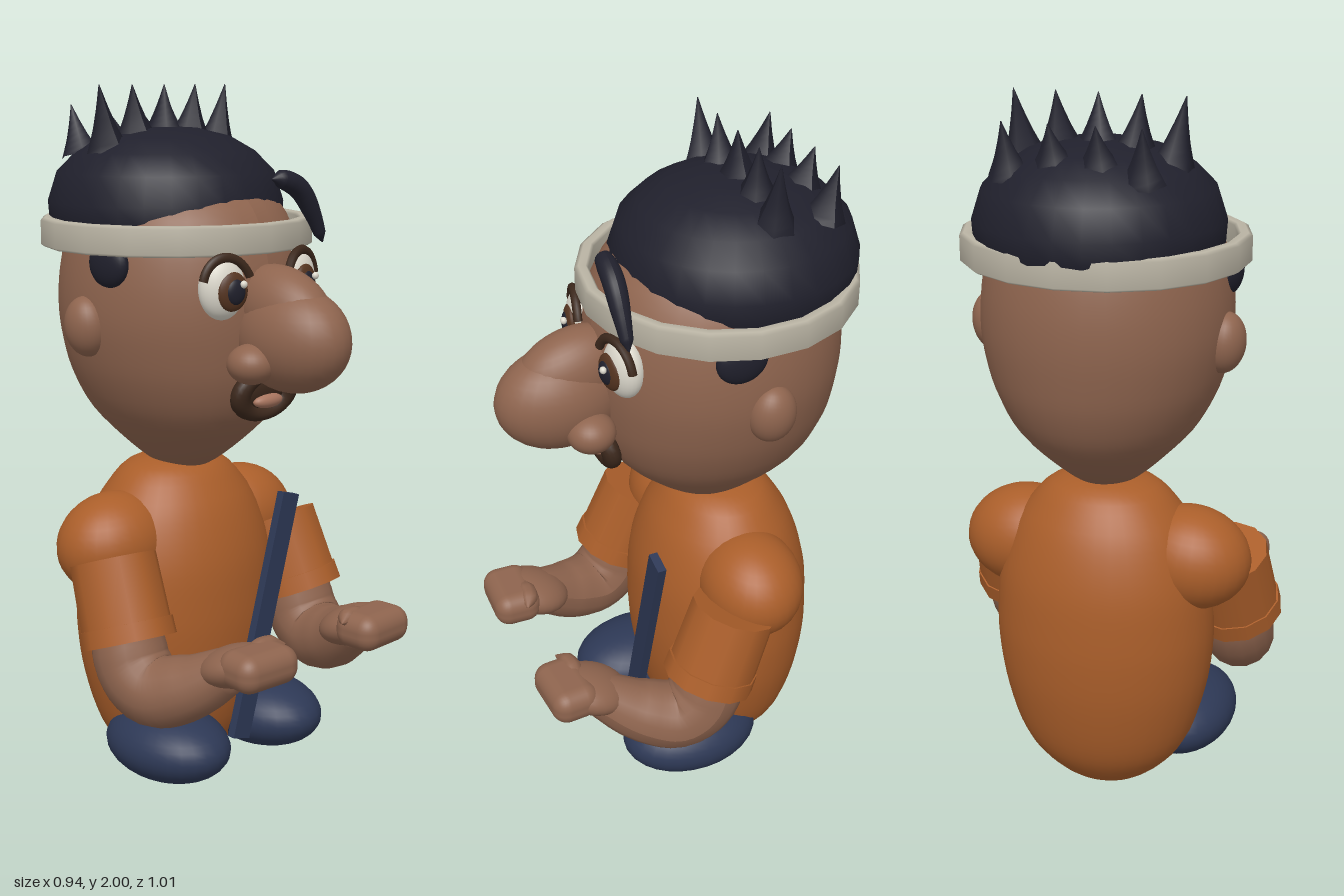
import * as THREE from 'three';
import { RoundedBoxGeometry } from 'three/addons/geometries/RoundedBoxGeometry.js';

const V = (x, y, z) => new THREE.Vector3(x, y, z);

export function createModel() {
  const model = new THREE.Group();
  model.name = 'seatedFigure';
  const mat = (name, color) => {
    const m = new THREE.MeshStandardMaterial({ color });
    m.name = name;
    return m;
  };
  const skin = mat('skin', 0x8e644e), orange = mat('orangeShirt', 0xaa5e2a);
  const hairDark = mat('darkHair', 0x20202c), navy = mat('navy', 0x2d3855);
  const cream = mat('creamBand', 0xbab4a4), white = mat('eyeWhite', 0xdcd8cc);
  const brown = mat('darkBrown', 0x3c281c), iris = mat('irisBrown', 0x553420);
  const lipColor = mat('lip', 0xa8755f);

  const add = (name, geo, material, pos = [0, 0, 0], rot = [0, 0, 0], scale = [1, 1, 1]) => {
    const m = new THREE.Mesh(geo, material);
    m.name = name;
    m.position.set(...pos);
    m.rotation.set(...rot);
    m.scale.set(...scale);
    model.add(m);
    return m;
  };
  const ball = (name, material, pos, radii, rot) =>
    add(name, new THREE.SphereGeometry(1, 28, 20), material, pos, rot, radii);

  // Smooth lathe through a few [radius, height] points
  const lathe = pts => {
    const prof = new THREE.SplineCurve(pts.map(p => new THREE.Vector2(...p))).getPoints(40);
    prof.forEach(p => { p.x = Math.max(0, p.x); });
    return new THREE.LatheGeometry(prof, 36);
  };

  // Tube whose radius follows a list of values along the path
  const limb = (points, radii, steps = 28, sides = 16) => {
    const path = new THREE.CatmullRomCurve3(points);
    const geo = new THREE.TubeGeometry(path, steps, 1, sides);
    const pos = geo.attributes.position, v = new THREE.Vector3();
    for (let i = 0; i <= steps; i++) {
      const c = path.getPointAt(i / steps);
      const f = (i / steps) * (radii.length - 1), k = Math.min(Math.floor(f), radii.length - 2);
      const r = THREE.MathUtils.lerp(radii[k], radii[k + 1], f - k);
      for (let j = 0; j <= sides; j++) {
        const n = i * (sides + 1) + j;
        v.fromBufferAttribute(pos, n).sub(c).multiplyScalar(r).add(c);
        pos.setXYZ(n, v.x, v.y, v.z);
      }
    }
    geo.computeVertexNormals();
    return geo;
  };

  // Torso
  add('torso', lathe([[0, 0], [0.09, 0.025], [0.165, 0.1], [0.21, 0.19], [0.243, 0.33], [0.256, 0.45],
    [0.257, 0.55], [0.248, 0.67], [0.22, 0.78], [0.18, 0.865], [0.115, 0.94], [0, 0.965]]),
  orange, [0, 0, -0.143], [0, 0, 0], [1.22, 1, 1]);

  // Head, narrower across the jaw
  const head = lathe([[0, 0.915], [0.08, 0.935], [0.175, 1.0], [0.278, 1.1], [0.328, 1.2], [0.349, 1.3],
    [0.357, 1.4], [0.35, 1.5], [0.325, 1.6], [0.27, 1.69], [0.16, 1.76], [0, 1.78]]);
  const hp = head.attributes.position;
  for (let i = 0; i < hp.count; i++) {
    hp.setX(i, hp.getX(i) * THREE.MathUtils.lerp(0.84, 0.95, THREE.MathUtils.smoothstep(hp.getY(i), 0.95, 1.4)));
  }
  head.computeVertexNormals();
  add('head', head, skin, [0, 0, -0.112]);

  // Hair cap and its two rows of spikes, rooted on the dome
  add('hairCap', new THREE.LatheGeometry([[0, 1.57], [0.3, 1.57], [0.327, 1.62], [0.331, 1.68], [0.305, 1.76],
    [0.25, 1.815], [0.18, 1.855], [0.09, 1.877], [0, 1.882]].map(p => new THREE.Vector2(...p)), 28),
  hairDark, [0, 0, -0.175]);
  const spike = (name, x, z, tip) => {
    const base = V(x, 1.862 - 1.05 * (x * x + (z + 0.175) ** 2), z);
    add(name, limb([base, base.clone().lerp(tip, 0.5), tip], [0.058, 0.034, 0.016, 0.001], 8, 6), hairDark);
  };
  [-0.2, -0.1, 0, 0.1, 0.2].forEach(x => spike('frontHairSpike', x, -0.185, V(x * 1.16, 1.995, -0.18)));
  [-0.175, -0.06, 0.06, 0.18].forEach(x => spike('backHairSpike', x, -0.335, V(x * 1.03, 1.94, -0.368)));

  // Loose lock hanging over the band
  add('looseLock', limb([V(0.032, 1.752, 0.212), V(0.07, 1.75, 0.215), V(0.13, 1.722, 0.218), V(0.18, 1.655, 0.22),
    V(0.222, 1.575, 0.22)], [0.002, 0.024, 0.028, 0.029, 0.029, 0.028, 0.026, 0.023, 0.02, 0.017, 0.002], 40), hairDark);

  // Headband with softened rims
  const ring = [[0.355, 1.56], [0.375, 1.56], [0.386, 1.567], [0.386, 1.633], [0.375, 1.64],
    [0.355, 1.64], [0.348, 1.633], [0.348, 1.567], [0.355, 1.56]];
  add('headband', new THREE.LatheGeometry(ring.map(p => new THREE.Vector2(...p)), 18),
    cream, [0, 0, -0.13], [0, 0, 0], [1, 1, 0.967]);

  // Nose
  ball('noseTip', skin, [0, 1.343, 0.325], [0.122, 0.143, 0.18]);
  ball('noseBridge', skin, [0, 1.415, 0.29], [0.095, 0.115, 0.165], [0.3, 0, 0]);

  // Mouth with goatee
  add('goatee', new THREE.TorusGeometry(0.09, 0.03, 14, 32), brown, [0, 1.185, 0.222], [0.25, 0, 0], [1, 0.68, 0.85]);
  ball('mouth', brown, [0, 1.185, 0.215], [0.08, 0.05, 0.025], [0.25, 0, 0]);
  ball('lowerLip', lipColor, [0, 1.165, 0.235], [0.052, 0.02, 0.022]);

  for (const s of [-1, 1]) {
    const side = s > 0 ? 'left' : 'right';

    // Face details
    ball(side + 'Nostril', skin, [s * 0.112, 1.285, 0.285], [0.066, 0.054, 0.066]);
    ball(side + 'Eye', white, [s * 0.14, 1.478, 0.2], [0.066, 0.085, 0.046], [0, s * 0.25, 0]);
    ball(side + 'Iris', iris, [s * 0.136, 1.472, 0.237], [0.046, 0.052, 0.018], [0, s * 0.2, 0]);
    ball(side + 'Pupil', hairDark, [s * 0.135, 1.472, 0.248], [0.029, 0.034, 0.013], [0, s * 0.2, 0]);
    ball(side + 'EyeGlint', white, [s * 0.135 + 0.016, 1.492, 0.262], [0.01, 0.01, 0.009]);
    add(side + 'Eyebrow', new THREE.TorusGeometry(0.072, 0.012, 8, 20, 2.5), brown,
      [s * 0.138, 1.478, 0.222], [0, s * 0.25, 0.32 - s * 0.1], [1, 1.15, 1]);
    ball(side + 'Ear', skin, [s * 0.328, 1.36, -0.13], [0.058, 0.083, 0.066], [0, 0, -s * 0.1]);
    ball(side + 'Sideburn', hairDark, [s * 0.318, 1.535, -0.045], [0.032, 0.065, 0.072]);

    // Shoulder, sleeve and hem
    ball(side + 'Shoulder', orange, [s * 0.245, 0.735, -0.13], [0.172, 0.145, 0.145], [0, 0, -s * 0.12]);
    const tilt = [-0.38, 0, s * 0.07];
    add(side + 'Sleeve', new THREE.CylinderGeometry(0.121, 0.127, 0.23, 12), orange, [s * 0.328, 0.615, 0], tilt);
    add(side + 'SleeveHem', new THREE.CylinderGeometry(0.131, 0.133, 0.05, 12), orange, [s * 0.334, 0.53, 0.035], tilt);

    // Bent bare arm
    add(side + 'Arm', limb([V(s * 0.33, 0.56, 0.02), V(s * 0.335, 0.44, 0.06), V(s * 0.325, 0.39, 0.13),
      V(s * 0.29, 0.42, 0.24), V(s * 0.245, 0.495, 0.36), V(s * 0.23, 0.515, 0.43)],
    [0.095, 0.105, 0.105, 0.1, 0.092, 0.078, 0.062, 0.002]), skin);
    ball(side + 'Wrist', skin, [s * 0.235, 0.502, 0.36], [0.1, 0.058, 0.11], [-0.35, 0, 0]);

    // Fist with the thumb pointing inward
    add(side + 'Fist', new RoundedBoxGeometry(0.2, 0.104, 0.14, 4, 0.045), skin, [s * 0.225, 0.518, 0.432], [0, s * 0.05, 0]);
    add(side + 'Thumb', limb([V(s * 0.22, 0.54, 0.4), V(s * 0.16, 0.55, 0.4), V(s * 0.112, 0.548, 0.42)],
      [0.025, 0.03, 0.025, 0.002], 12, 10), skin);

    // Foot
    ball(side + 'Foot', navy, [s * 0.187, 0.163, 0.03], [0.15, 0.104, 0.21], [-0.03, 0, 0]);
  }

  // Slanted sash end across the front
  add('sash', new THREE.BoxGeometry(0.065, 0.725, 0.025), navy, [0.093, 0.502, 0.133], [0, 0, -0.273]);

  return model;
}
